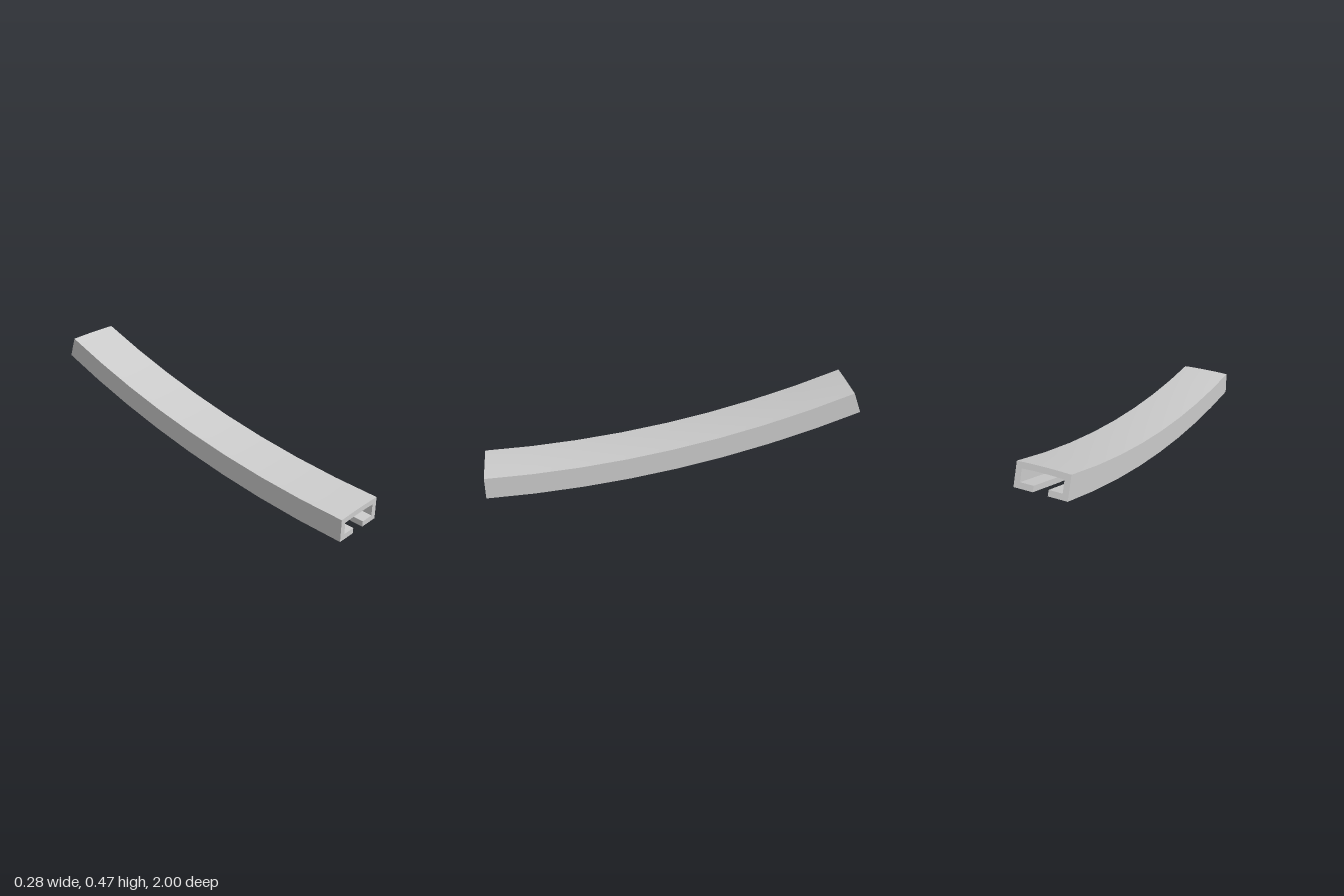
import * as THREE from 'three';
import { toCreasedNormals } from 'three/addons/utils/BufferGeometryUtils.js';

const ARC = THREE.MathUtils.degToRad(20);
const RADIUS = 2 / Math.sin(ARC); // bend radius of the underside
const SEGMENTS = 8;

// C-shaped cross-section: crowned top, slot open at the bottom
function channelProfile() {
  const outer = 0.14, inner = 0.11, slot = 0.0385, lip = 0.03;
  const s = new THREE.Shape();
  s.moveTo(slot, 0);
  s.lineTo(outer, 0);
  s.lineTo(outer, 0.123);
  s.quadraticCurveTo(0, 0.129, -outer, 0.123);
  s.lineTo(-outer, 0);
  s.lineTo(-slot, 0);
  s.lineTo(-slot, lip);
  s.lineTo(-inner, lip);
  s.lineTo(-inner, 0.094);
  s.quadraticCurveTo(0, 0.1, inner, 0.094);
  s.lineTo(inner, lip);
  s.lineTo(slot, lip);
  s.closePath();
  return s;
}

// Wrap a straight extrusion (z 0..2) round the arc, curving up toward the back
function bend(geometry) {
  const p = geometry.attributes.position;
  for (let i = 0; i < p.count; i++) {
    const a = (1 - p.getZ(i) / 2) * ARC;
    const r = RADIUS - p.getY(i);
    p.setXYZ(i, p.getX(i), RADIUS - r * Math.cos(a), 1 - r * Math.sin(a));
  }
  return toCreasedNormals(geometry, 0.4);
}

export function createModel() {
  const group = new THREE.Group();
  group.name = 'curvedRail';
  const geometry = bend(new THREE.ExtrudeGeometry(channelProfile(), {
    depth: 2, steps: SEGMENTS, bevelEnabled: false, curveSegments: 8,
  }));
  const rail = new THREE.Mesh(geometry, new THREE.MeshStandardMaterial({ color: 0xcccccc }));
  rail.name = 'slottedChannel';
  group.add(rail);
  return group;
}
